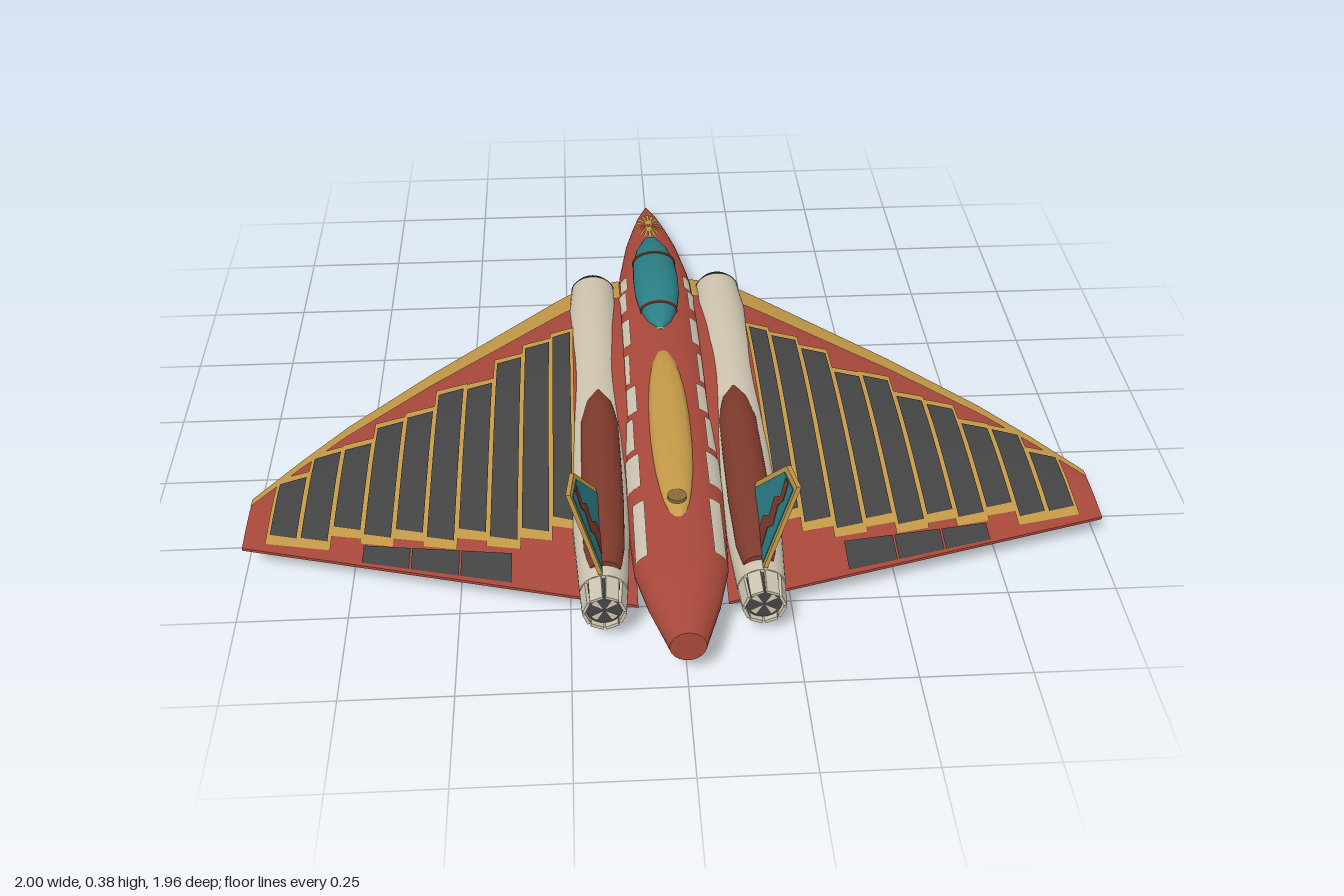
import * as THREE from 'three';
import { toCreasedNormals } from 'three/addons/utils/BufferGeometryUtils.js';

const material = (name, color) => new THREE.MeshStandardMaterial({ name, color });

// Surface from a rule f(u, v) -> [x, y, z]; its front faces along u x v
function grid(nu, nv, f) {
  const pos = [], index = [];
  for (let j = 0; j <= nv; j++)
    for (let i = 0; i <= nu; i++) pos.push(...f(i / nu, j / nv));
  for (let j = 0; j < nv; j++)
    for (let i = 0; i < nu; i++) {
      const a = j * (nu + 1) + i, b = a + 1, c = a + nu + 1, d = c + 1;
      index.push(a, b, c, b, d, c);
    }
  const g = new THREE.BufferGeometry();
  g.setAttribute('position', new THREE.Float32BufferAttribute(pos, 3));
  g.setIndex(index);
  return toCreasedNormals(g, 0.7);
}

// Linear interpolation in rows [key, value, value, ...]
function sample(rows, key) {
  let i = 1;
  while (i < rows.length - 1 && rows[i][0] < key) i++;
  const a = rows[i - 1], b = rows[i];
  const t = THREE.MathUtils.clamp((key - a[0]) / (b[0] - a[0]), 0, 1);
  return a.map((v, k) => v + (b[k] - v) * t);
}

// Capped body from elliptical sections [z, half width, bottom y, top y]
function loft(sections, cx = 0, n = 36) {
  const squash = ([z, , b, t]) => [z, 0, (b + t) / 2, (b + t) / 2];
  const rows = [squash(sections[0]), ...sections, squash(sections[sections.length - 1])];
  return grid(n, rows.length - 1, (u, v) => {
    const [z, w, b, t] = rows[Math.round(v * (rows.length - 1))];
    const a = (u - 0.25) * Math.PI * 2;
    return [cx + w * Math.cos(a), (b + t) / 2 + (t - b) / 2 * Math.sin(a), z];
  });
}

const topOf = (sections) => (x, z) => {
  const [, w, b, t] = sample(sections, z);
  return (b + t) / 2 + (t - b) / 2 * Math.sqrt(Math.max(0, 1 - (x / w) ** 2));
};

// Thin painted quad laid on a height field; corners: front inner, front outer, rear inner, rear outer
function drape(height, [a, b, c, d], lift = 0.003, nz = 10, nx = 4) {
  const mix = (p, q, t) => p + (q - p) * t;
  return grid(nz, nx, (u, v) => {
    const x = mix(mix(a[0], b[0], v), mix(c[0], d[0], v), u);
    const z = mix(mix(a[1], b[1], v), mix(c[1], d[1], v), u);
    return [x, height(x, z) + lift, z];
  });
}

function mirrored(geo) {
  const g = geo.index ? geo.toNonIndexed() : geo.clone();
  g.scale(-1, 1, 1);
  for (const attr of Object.values(g.attributes)) {
    const n = attr.itemSize, arr = attr.array;
    for (let i = 0; i < arr.length; i += 3 * n)
      for (let k = 0; k < n; k++) {
        const t = arr[i + n + k];
        arr[i + n + k] = arr[i + 2 * n + k];
        arr[i + 2 * n + k] = t;
      }
  }
  return g;
}

// Profiles
const FUSELAGE = [
  [-0.98, 0.003, 0.028, 0.034], [-0.9, 0.028, 0.027, 0.055], [-0.8, 0.05, 0.027, 0.08],
  [-0.68, 0.073, 0.027, 0.108], [-0.5, 0.097, 0.027, 0.136], [-0.35, 0.108, 0.027, 0.155],
  [-0.1, 0.115, 0.027, 0.172], [0.2, 0.118, 0.027, 0.177], [0.5, 0.118, 0.027, 0.172],
  [0.75, 0.106, 0.035, 0.162], [0.86, 0.08, 0.048, 0.153], [0.98, 0.04, 0.06, 0.14]];
const LEADING = [[0.1, -0.49], [0.2, -0.46], [0.26, -0.41], [0.4, -0.27], [0.6, -0.07],
  [0.8, 0.15], [0.9, 0.28], [1, 0.42]];
const lead = (x) => sample(LEADING, x)[1];
const trail = (x) => 0.59 + (1 - x) * 0.263;
const camber = (s) => s * (1 - s) * (1.6 - s) / 0.287;
const wingY = (x, s) => 0.078 + (0.005 + 0.0725 * (1 - x)) * camber(s);
const wingTop = (x, z) =>
  wingY(x, THREE.MathUtils.clamp((z - lead(x)) / (trail(x) - lead(x)), 0, 1));

function wingGeometry() {
  const N = 28, M = 36, K = 2 * N + 2;
  return grid(K, M + 1, (u, v) => {
    const k = Math.round(u * K) % K, row = Math.round(v * (M + 1));
    const x = 0.1 + 0.9 * Math.min(row, M) / M;
    const top = k <= N, s = top ? k / N : 1 - (k - N - 1) / N;
    const y = row > M ? 0.075 : top ? wingY(x, s) : 0.071 - 0.004 * camber(s);
    return [x, y, lead(x) + (trail(x) - lead(x)) * s];
  });
}

// Leaning plate from a (z, y) outline
function finPlate(points, thick) {
  const g = new THREE.ExtrudeGeometry(
    new THREE.Shape(points.map(([z, y]) => new THREE.Vector2(z, y))),
    { depth: thick, bevelEnabled: false });
  g.translate(0, -0.145, -thick / 2);
  g.applyMatrix4(new THREE.Matrix4().set(
    0, 0.28, -1, 0.18,
    0, 1, 0, 0.145,
    1, 0, 0, 0,
    0, 0, 0, 1));
  return g;
}

export function createModel() {
  const red = material('red', 0xa9483b), darkRed = material('dark red', 0x7e3a2c);
  const cream = material('cream', 0xcec4b0), gold = material('gold', 0xc59a48);
  const charcoal = material('charcoal', 0x444444), teal = material('teal', 0x2a7f86);
  const bronze = material('bronze', 0x8a6a3a);

  const model = new THREE.Group();
  model.name = 'aircraft';
  const add = (name, geo, mat) => {
    const m = new THREE.Mesh(geo, mat);
    m.name = name;
    model.add(m);
  };
  const both = (name, geo, mat) => {
    add(name + 'Left', geo, mat);
    add(name + 'Right', mirrored(geo), mat);
  };

  // Fuselage, spine and canopy
  const bodyTop = topOf(FUSELAGE);
  add('fuselage', loft(FUSELAGE), red);
  const pod = (z0, z1, hw, top, sink, n = 16) => Array.from({ length: n + 1 }, (_, i) => {
    const t = i / n, z = z0 + (z1 - z0) * t, k = Math.sqrt(Math.max(0.0004, 4 * t * (1 - t)));
    const base = bodyTop(0, z) - sink;
    return [z, hw * k, base - 0.02, base + (top - base) * k];
  });
  const SPINE = pod(-0.05, 0.67, 0.05, 0.193, 0.015);
  add('spine', loft(SPINE), gold);
  add('spineCap', new THREE.CylinderGeometry(0.022, 0.022, 0.008, 20)
    .translate(0, topOf(SPINE)(0, 0.58), 0.58), bronze);
  const CANOPY = [[-0.69, 0.006, 0.08, 0.106], [-0.66, 0.024, 0.08, 0.122], [-0.58, 0.045, 0.09, 0.15],
    [-0.48, 0.058, 0.1, 0.18], [-0.38, 0.062, 0.11, 0.197], [-0.3, 0.06, 0.115, 0.2],
    [-0.22, 0.05, 0.13, 0.195], [-0.15, 0.029, 0.14, 0.184], [-0.11, 0.006, 0.15, 0.172]];
  add('canopy', loft(CANOPY), teal);
  for (const z of [-0.48, -0.21]) {
    const [, w, b, t] = sample(CANOPY, z);
    add('canopyFrame', loft([-0.004, 0.004].map((d) => [z + d, w + 0.003, b, t + 0.003])), darkRed);
  }
  add('canopyRim', loft(CANOPY.map(([z, w, b, t]) => [z, w + 0.007, b - 0.02, bodyTop(0, z) + 0.003])), gold);

  // Sunburst on the nose
  for (let i = 0; i < 18; i++) {
    const a = i / 18 * Math.PI * 2, dx = Math.sin(a), dz = Math.cos(a);
    const at = (r, w) => [0.42 * dx * r + dz * w, -0.79 + dz * r - dx * w];
    add('noseRay', drape(bodyTop, [at(0.012, -0.002), at(0.012, 0.002),
      at(0.1, -0.005), at(0.1, 0.005)], 0.002, 6, 2), gold);
  }

  // Broken cream stripe along each shoulder
  const patches = [[-0.44, -0.36, 0.078, 0.097], [-0.35, -0.25, 0.085, 0.104], [-0.2, -0.07, 0.08, 0.107],
    [-0.03, 0.1, 0.088, 0.113], [0.12, 0.23, 0.076, 0.1], [0.25, 0.37, 0.088, 0.114],
    [0.39, 0.51, 0.08, 0.112], [0.56, 0.74, 0.075, 0.102]];
  for (const [z0, z1, x0, x1] of patches)
    both('shoulderPatch', drape(bodyTop, [[x0, z0], [x1, z0], [x0, z1], [x1, z1]], 0.003, 6, 6), cream);

  // Wings with gold leading edge
  both('wing', wingGeometry(), red);
  both('leadingEdge', grid(8, 36, (u, v) => {
    const x = 0.1 + 0.9 * v, z = lead(x) + u * (0.03 + 0.12 * (1 - x));
    return [x, wingTop(x, z) + 0.003, z];
  }), gold);

  // Feather panels, root to tip: [inner x, outer x, front z, rear z]
  const fronts = [-0.16, -0.12, -0.06, 0.05, 0.06, 0.15, 0.18, 0.26, 0.28, 0.37];
  const rears = [0.56, 0.59, 0.61, 0.58, 0.6, 0.57, 0.58, 0.55, 0.58, 0.565];
  fronts.forEach((z0, i) => {
    const x0 = i ? 0.218 + i * 0.0727 : 0.235, x1 = 0.2907 + i * 0.0727, z1 = rears[i];
    const panel = (e, m, lift) => drape(wingTop, [[x0 - e, z0 - m - 0.008], [x1 + e, z0 - m + 0.008],
      [x0 - e, z1 + m + 0.008], [x1 + e, z1 + m - 0.008]], lift, 14, 3);
    both('featherBorder', panel(0.003, 0.026, 0.003), gold);
    both('feather', panel(-0.005, 0, 0.0055), charcoal);
  });

  // Elevons
  for (const [x0, x1] of [[0.38, 0.495], [0.499, 0.608], [0.612, 0.72]]) {
    const f = (x) => 0.655 - (x - 0.38) * 0.147, r = (x) => 0.742 - (x - 0.38) * 0.25;
    both('elevon', drape(wingTop, [[x0, f(x0)], [x1, f(x1)], [x0, r(x0)], [x1, r(x1)]]), charcoal);
  }

  // Engine nacelles with dark intakes
  const CX = 0.175, CY = 0.093;
  both('nacelle', loft([[-0.435, 0.058, 0.038, 0.136], [-0.3, 0.067, 0.032, 0.148], [-0.1, 0.071, 0.03, 0.157],
    [0.3, 0.071, 0.03, 0.16], [0.6, 0.066, 0.035, 0.157], [0.8, 0.054, 0.043, 0.147]], CX), cream);
  both('intake', loft([[-0.446, 0.05, 0.044, 0.132], [-0.43, 0.06, 0.036, 0.139]], CX), charcoal);
  both('intakeCone', new THREE.ConeGeometry(0.022, 0.03, 16).rotateX(-Math.PI / 2)
    .translate(CX, 0.088, -0.455), cream);

  // Nozzles: dark core, petals and end plates
  both('nozzleCore', new THREE.CylinderGeometry(0.04, 0.046, 0.06, 24).rotateX(Math.PI / 2)
    .translate(CX, CY, 0.82), charcoal);
  for (let i = 0; i < 8; i++) {
    const a = (i + 0.5) / 8 * Math.PI * 2;
    both('nozzlePetal', new THREE.BoxGeometry(0.007, 0.03, 0.075).rotateY(-0.08)
      .translate(0.046, 0, 0.825).rotateZ(a).translate(CX, CY, 0), cream);
    if (i % 2 === 0)
      both('nozzleVane', new THREE.CircleGeometry(0.034, 4, a - 0.28 + Math.PI / 8, 0.56)
        .translate(CX, CY, 0.853), cream);
  }

  // Fairings on top of the nacelles
  both('fairing', loft([[0.13, 0.012, 0.12, 0.159], [0.17, 0.034, 0.11, 0.167], [0.25, 0.047, 0.1, 0.173],
    [0.55, 0.05, 0.1, 0.176], [0.7, 0.046, 0.1, 0.17], [0.77, 0.035, 0.1, 0.16]], 0.171), darkRed);

  // Tail fins: gold edge, teal face, zigzag stripe
  both('fin', finPlate([[0.54, 0.15], [0.8, 0.15], [0.8, 0.378], [0.69, 0.348], [0.545, 0.185]], 0.01), gold);
  both('finFace', finPlate([[0.56, 0.155], [0.788, 0.155], [0.788, 0.362], [0.697, 0.336], [0.56, 0.182]], 0.014), teal);
  both('finStripe', finPlate([[0.69, 0.157], [0.75, 0.157], [0.735, 0.21], [0.76, 0.24], [0.742, 0.28],
    [0.762, 0.31], [0.75, 0.348], [0.722, 0.34], [0.735, 0.3], [0.7, 0.27], [0.715, 0.23], [0.68, 0.2]], 0.017), darkRed);

  // Belly tray and stores
  add('bellyTray', loft([[-0.2, 0.07, 0.024, 0.05], [-0.14, 0.085, 0.016, 0.06],
    [0.19, 0.085, 0.016, 0.06], [0.25, 0.07, 0.024, 0.05]]), cream);
  both('bellyStore', new THREE.CapsuleGeometry(0.015, 0.36, 6, 14).rotateX(Math.PI / 2)
    .translate(0.036, 0.015, 0.03), charcoal);

  return model;
}
